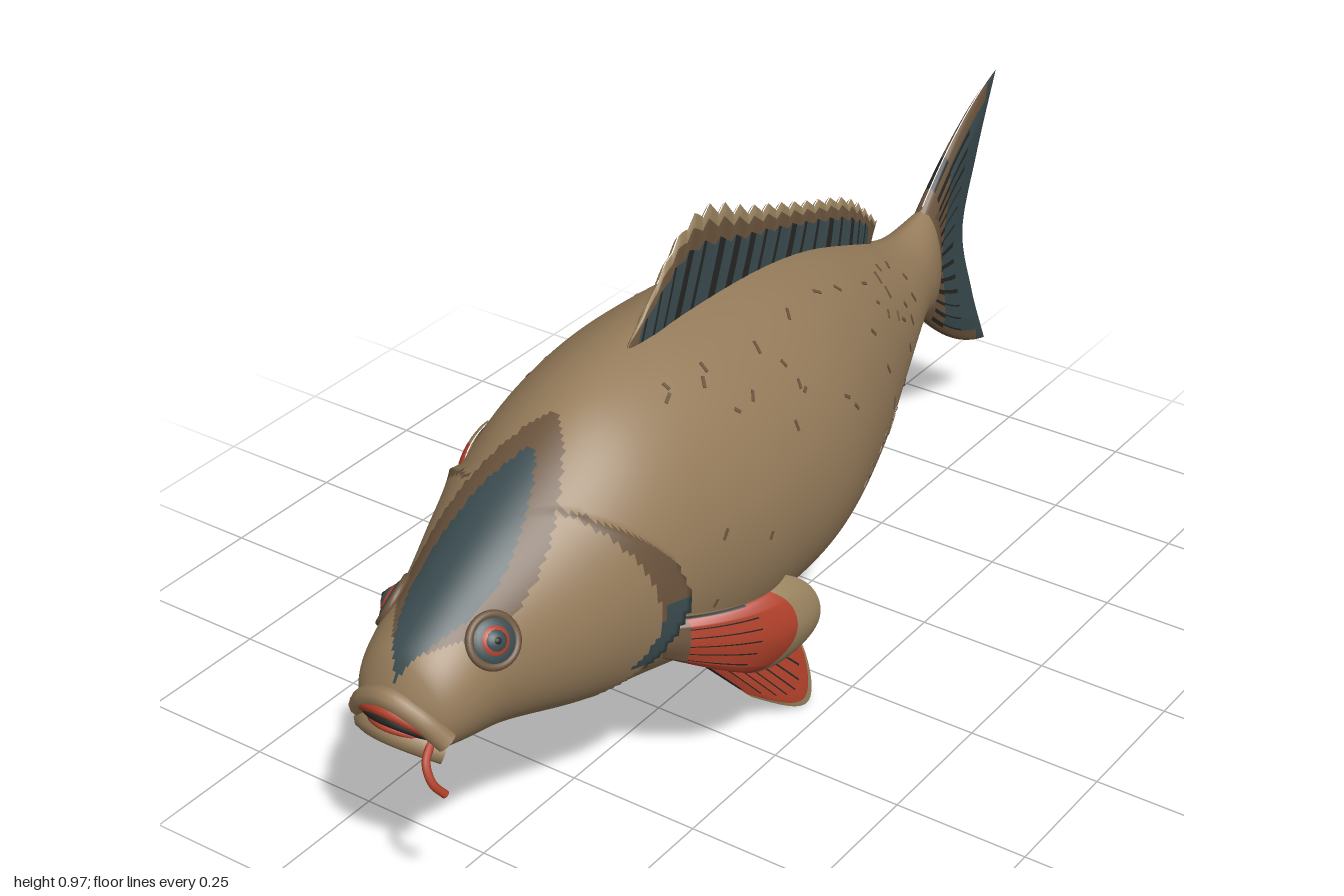
import * as THREE from 'three';
import { mergeGeometries } from 'three/addons/utils/BufferGeometryUtils.js';

const V = (x, y, z) => new THREE.Vector3(x, y, z);

// Body stations, nose to tail: z, centre x, half width, top y, bottom y
const STATIONS = [
  [0.978, 0.012, 0.0, 0.41, 0.4],
  [0.968, 0.012, 0.055, 0.465, 0.36],
  [0.945, 0.013, 0.085, 0.51, 0.342],
  [0.9, 0.014, 0.107, 0.548, 0.333],
  [0.8, 0.015, 0.13, 0.608, 0.315],
  [0.65, 0.015, 0.185, 0.695, 0.27],
  [0.5, 0.015, 0.222, 0.772, 0.238],
  [0.35, 0.012, 0.247, 0.802, 0.205],
  [0.2, 0.009, 0.258, 0.802, 0.195],
  [0.0, 0.002, 0.247, 0.78, 0.195],
  [-0.2, -0.01, 0.2, 0.73, 0.23],
  [-0.4, -0.025, 0.137, 0.652, 0.305],
  [-0.5, -0.032, 0.106, 0.605, 0.36],
  [-0.6, -0.04, 0.074, 0.577, 0.385],
  [-0.7, -0.048, 0.046, 0.588, 0.365],
  [-0.77, -0.055, 0.008, 0.6, 0.35],
];

// Smooth value of station column k at z
function sample(z, k) {
  const S = STATIONS, n = S.length;
  let i = 0;
  while (i < n - 2 && z < S[i + 1][0]) i++;
  const slope = (j) => {
    const a = S[Math.max(j - 1, 0)], b = S[Math.min(j + 1, n - 1)];
    return (b[k] - a[k]) / (b[0] - a[0]);
  };
  const h = S[i + 1][0] - S[i][0], t = (z - S[i][0]) / h, q = t * t * (3 - 2 * t);
  if (i < 2) return S[i][k] + (S[i + 1][k] - S[i][k]) * t;
  return S[i][k] * (1 - q) + S[i + 1][k] * q +
    h * (slope(i) * t * (1 - t) ** 2 - slope(i + 1) * t * t * (1 - t));
}

// Distance ahead of the curved rear edge of the gill cover
const gillDistance = (y, z) => z - 0.505 - 4 * (y - 0.47) ** 2;

// Skin point; angle 0 is the back, positive angles go to -x
function skin(z, a) {
  const [cx, hw, top, bot] = [1, 2, 3, 4].map((k) => sample(z, k));
  const c = Math.cos(a), s = Math.sin(a), mid = bot + 0.45 * (top - bot);
  const y = mid + c * (c > 0 ? top - mid : mid - bot);
  const side = Math.sign(s) * Math.abs(s) ** (c < 0 ? 0.85 : 1.12);
  const d = gillDistance(y, z);
  const bulge = d > 0 && y > 0.3 && y < 0.66 ? 0.026 * Math.exp(-d / 0.06) * s * s : 0;
  return V(cx - side * (hw + bulge), y, z);
}

function skinNormal(z, a) {
  const du = skin(z - 0.01, a).sub(skin(z + 0.01, a));
  const dv = skin(z, a + 0.02).sub(skin(z, a - 0.02));
  return du.cross(dv).normalize();
}

// Grid surface whose faces are grouped by the material that paint() returns
function surface(nu, nv, point, paint) {
  const pos = [], faces = new Map();
  for (let i = 0; i <= nu; i++)
    for (let j = 0; j <= nv; j++) pos.push(...point(i / nu, j / nv).toArray());
  for (let i = 0; i < nu; i++)
    for (let j = 0; j < nv; j++) {
      const m = paint((i + 0.5) / nu, (j + 0.5) / nv);
      if (!faces.has(m)) faces.set(m, []);
      const a = i * (nv + 1) + j, b = a + nv + 1;
      faces.get(m).push(a, b, a + 1, b, b + 1, a + 1);
    }
  const g = new THREE.BufferGeometry(), index = [], mats = [...faces.keys()];
  g.setAttribute('position', new THREE.Float32BufferAttribute(pos, 3));
  mats.forEach((m, k) => {
    g.addGroup(index.length, faces.get(m).length, k);
    for (const v of faces.get(m)) index.push(v);
  });
  g.setIndex(index);
  g.computeVertexNormals();
  return new THREE.Mesh(g, mats);
}

export function createModel() {
  const mat = (name, color) => {
    const m = new THREE.MeshStandardMaterial({ color });
    m.name = name;
    return m;
  };
  const tan = mat('tan skin', 0x967c5b), brown = mat('brown marking', 0x6b543d);
  const pale = mat('pale tan', 0x9a8460), blue = mat('slate blue', 0x3b4c50);
  const red = mat('fin red', 0xb2412b), dark = mat('dark line', 0x262725);
  const fish = new THREE.Group();
  fish.name = 'fish';
  const add = (mesh, name, parent = fish) => {
    mesh.name = name;
    parent.add(mesh);
    return mesh;
  };

  // Body with head patch and gill markings
  const zAt = (u) => 0.978 - 1.748 * u;
  const angle = (v) => Math.PI * (2 * v - 1);
  add(surface(220, 140, (u, v) => skin(zAt(u), angle(v)), (u, v) => {
    const z = zAt(u), a = angle(v), p = skin(z, a), d = gillDistance(p.y, z);
    const dx = Math.abs(p.x - 0.02);
    const lobe = (z0, z1, w) => z > z0 && z < z1 && dx < w * Math.sin(Math.PI * (z - z0) / (z1 - z0)) ** 0.75;
    if (z < -0.7) return brown;
    if (Math.cos(a) > 0) {
      if (lobe(0.6, 0.96, 0.068)) return blue;
      if (lobe(0.54, 0.95, 0.105)) return brown;
    }
    if (Math.abs(Math.sin(a)) > 0.4) {
      if (d > -0.01 && d < 0.045 && p.y > 0.36 && p.y < 0.48) return blue;
      if (d > -0.005 && d < 0.055 * Math.sin(Math.PI * (p.y - 0.33) / 0.34) && p.y > 0.33 && p.y < 0.67) return brown;
    }
    return tan;
  }), 'body');

  // Scale flecks
  let seed = 7;
  const rand = () => (seed = (seed * 16807) % 2147483647) / 2147483647;
  const flecks = [], turn = new THREE.Object3D();
  for (let i = 0; i < 100; i++) {
    const z = 0.42 - 0.9 * rand() ** 1.2, a = (i % 2 ? 1 : -1) * (0.5 + rand() * 1.45);
    turn.position.copy(skin(z, a));
    turn.lookAt(turn.position.clone().add(skinNormal(z, a)));
    turn.rotateZ((rand() - 0.5) * 2.4);
    turn.updateMatrix();
    flecks.push(new THREE.BoxGeometry(0.006, 0.012 + rand() * 0.014, 0.003).applyMatrix4(turn.matrix));
  }
  add(new THREE.Mesh(mergeGeometries(flecks), brown), 'scaleFlecks');

  // Fin: two sheets between a root curve and an outer curve
  const curve = (pts) => new THREE.CatmullRomCurve3(pts.map((p) => V(...p)));
  function fin(name, root, outer, thick, paint, bow = () => V(0, 0, 0), reach = () => 1) {
    const r = curve(root), o = curve(outer), group = add(new THREE.Group(), name);
    const n = r.getPoint(1).sub(r.getPoint(0)).cross(o.getPoint(0.5).sub(r.getPoint(0.5))).normalize();
    for (const s of [1, -1]) {
      const along = (u) => (s > 0 ? u : 1 - u);
      add(surface(100, 16, (w, v) => {
        const u = along(w), t = thick * Math.sqrt((1 - v) * Math.min(1, 8 * u, 8 * (1 - u))) + 0.001;
        return r.getPoint(u).lerp(o.getPoint(u), v * reach(u)).add(bow(u, v)).addScaledVector(n, s * t);
      }, (w, v) => paint(along(w), v, s)), name + (s > 0 ? 'SideA' : 'SideB'), group);
    }
  }
  const ray = (u, count, width = 0.22) => (u * count) % 1 < width;
  const rounded = (u) => 1 - 0.16 * Math.abs(2 * u - 1) ** 4;

  fin('dorsalFin',
    [[0.035, 0.78, 0.38], [0.03, 0.785, 0.26], [0.02, 0.765, 0.05], [0, 0.72, -0.16], [-0.02, 0.645, -0.36], [-0.035, 0.595, -0.48]],
    [[0.037, 0.81, 0.36], [0.037, 0.965, 0.18], [0.02, 0.895, -0.02], [-0.004, 0.815, -0.22], [-0.025, 0.74, -0.4], [-0.035, 0.65, -0.51]],
    0.015,
    (u, v) => (v > 0.86 ? pale : v > 0.68 || u > 0.94 || u < 0.04 ? brown : ray(u, 20, 0.3) ? dark : blue),
    undefined, (u) => 1 - 0.14 * ((u * 20) % 1));

  fin('tailFin',
    [[-0.048, 0.588, -0.69], [-0.048, 0.53, -0.7], [-0.048, 0.475, -0.7], [-0.048, 0.42, -0.7], [-0.048, 0.362, -0.69]],
    [[-0.07, 0.767, -0.998], [-0.068, 0.62, -0.935], [-0.066, 0.47, -0.885], [-0.068, 0.31, -0.935], [-0.07, 0.168, -1]],
    0.021,
    (u, v) => {
      if (v < 0.3) return v > 0.1 && ray(u, 14, 0.4) ? dark : brown;
      if ((u < 0.06 || u > 0.94) && v < 0.85) return brown;
      return v < 0.6 && ray(u, 14) ? dark : blue;
    },
    (u, v) => V(0, 0.1 * v * (1 - v) * Math.cos(Math.PI * u), 0));

  const redFin = (u, v) => (v > 0.96 || v < 0.1 ? pale : v < 0.8 && ray(u, 8, 0.14) ? dark : red);
  fin('analFin',
    [[-0.022, 0.27, -0.28], [-0.025, 0.31, -0.36], [-0.03, 0.345, -0.44]],
    [[-0.035, 0.155, -0.565], [-0.04, 0.235, -0.545], [-0.04, 0.33, -0.56]],
    0.012, (u, v) => (u > 0.6 && v < 0.5 ? (u > 0.85 ? pale : blue) : redFin(u, v)),
    (u, v) => V(0, -0.06 * v * (1 - v) * (1 - u), 0));

  // Pelvic fins, spread unevenly
  fin('leftPelvicFin',
    [[0.125, 0.225, 0.35], [0.14, 0.215, 0.27], [0.14, 0.21, 0.18]],
    [[0.185, 0.045, 0.19], [0.21, 0.002, 0.085], [0.2, 0.12, 0.07]], 0.016, redFin, undefined, rounded);
  fin('rightPelvicFin',
    [[-0.14, 0.23, 0.35], [-0.17, 0.235, 0.27], [-0.195, 0.245, 0.18]],
    [[-0.265, 0.08, 0.21], [-0.345, 0.062, 0.11], [-0.345, 0.12, 0.08]], 0.016, redFin, undefined, rounded);

  // Pectoral fins: red outer face, tan inner face
  const pectoral = (outside) => (u, v, s) => {
    if (s !== outside) return v > 0.9 ? brown : tan;
    return v < 0.12 ? brown : v > 0.76 ? pale : ray(u, 6, 0.12) && v < 0.5 ? dark : red;
  };
  fin('leftPectoralFin',
    [[0.205, 0.42, 0.52], [0.205, 0.38, 0.53], [0.2, 0.345, 0.52]],
    [[0.33, 0.435, 0.275], [0.35, 0.34, 0.27], [0.3, 0.235, 0.32]],
    0.014, pectoral(1), (u, v) => V(0.16 * v * (1 - v), 0, 0), rounded);
  fin('rightPectoralFin',
    [[-0.18, 0.45, 0.52], [-0.18, 0.41, 0.53], [-0.18, 0.37, 0.52]],
    [[-0.325, 0.54, 0.285], [-0.345, 0.43, 0.275], [-0.32, 0.315, 0.31]],
    0.014, pectoral(-1), (u, v) => V(-0.16 * v * (1 - v), 0, 0), rounded);

  // Eyes: lid, blue rim, red ring, iris and pupil stacked outward
  for (const s of [1, -1]) {
    const eye = add(new THREE.Group(), s > 0 ? 'leftEye' : 'rightEye');
    const a = -s * 1.0;
    eye.position.copy(skin(0.835, a));
    eye.lookAt(eye.position.clone().add(skinNormal(0.835, a)));
    add(new THREE.Mesh(new THREE.TorusGeometry(0.041, 0.007, 10, 32), brown), 'eyelid', eye);
    [['eyeRim', 0.039, 0.012, blue], ['eyeRing', 0.029, 0.0165, red], ['iris', 0.024, 0.019, blue], ['pupil', 0.012, 0.021, dark]]
      .forEach(([name, r, depth, m]) => {
        add(new THREE.Mesh(new THREE.SphereGeometry(r, 24, 16), m), name, eye).scale.z = depth / r;
      });
  }

  // Down-turned mouth and barbel
  const tube = (name, pts, r, m) =>
    add(new THREE.Mesh(new THREE.TubeGeometry(curve(pts), 28, r, 10), m), name);
  const lip = (name, yMid, yEnd, w, z, r, m) => tube(name,
    [-1, -0.6, 0, 0.6, 1].map((t) => [0.013 + t * w, yMid + (yEnd - yMid) * t * t, z - 0.03 * t * t]), r, m);
  lip('upperLip', 0.45, 0.385, 0.088, 0.97, 0.019, tan);
  lip('lowerLip', 0.384, 0.362, 0.08, 0.968, 0.02, tan);
  lip('upperMouthRim', 0.433, 0.398, 0.072, 0.982, 0.01, red);
  lip('mouthGap', 0.416, 0.393, 0.064, 0.979, 0.01, dark);
  lip('lowerMouthRim', 0.402, 0.388, 0.058, 0.982, 0.006, red);
  tube('barbel', [[0.08, 0.39, 0.95], [0.09, 0.365, 0.98], [0.105, 0.335, 0.985], [0.117, 0.31, 0.97]], 0.007, red);

  return fish;
}
